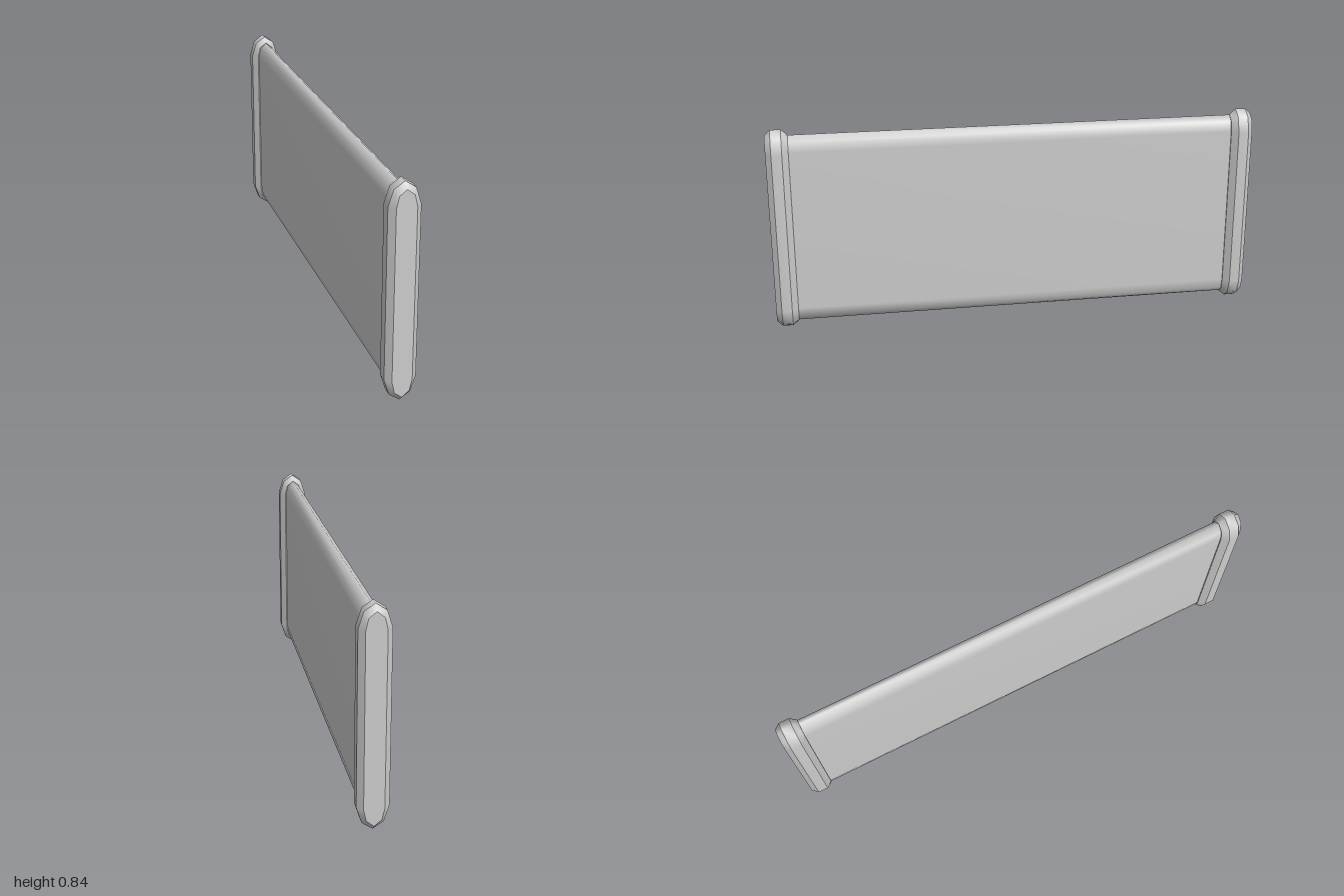
import * as THREE from 'three';
import { mergeGeometries } from 'three/addons/utils/BufferGeometryUtils.js';

const CENTRE_Y = 0.425;

// Pointed oval, counterclockwise from the front: tip height, shoulder x/y, side x/y
function oval(tip, sx, sy, wx, wy) {
  return [
    [0, -tip], [sx, -sy], [wx, -wy], [wx, wy], [sx, sy],
    [0, tip], [-sx, sy], [-wx, wy], [-wx, -wy], [-sx, -sy],
  ];
}

function makeGeometry(points, index) {
  const g = new THREE.BufferGeometry();
  g.setAttribute('position', new THREE.Float32BufferAttribute(points.flat(), 3));
  g.setIndex(index);
  g.computeVertexNormals();
  return g;
}

// Skins sections ordered back to front; each band is smooth around, sharp at its rims
function loft(sections) {
  const rings = sections.map(([z, profile]) => profile.map(([x, y]) => [x, y, z]));
  const n = rings[0].length;
  const parts = [];
  for (let r = 0; r < rings.length - 1; r++) {
    const index = [];
    for (let a = 0; a < n; a++) {
      const b = (a + 1) % n;
      index.push(a, b, b + n, a, b + n, a + n);
    }
    parts.push(makeGeometry([...rings[r], ...rings[r + 1]], index));
  }
  // Flat ends
  const front = [], back = [];
  for (let i = 1; i < n - 1; i++) {
    front.push(0, i, i + 1);
    back.push(0, i + 1, i);
  }
  parts.push(makeGeometry(rings[0], back), makeGeometry(rings[rings.length - 1], front));
  return mergeGeometries(parts);
}

export function createModel() {
  const group = new THREE.Group();
  const material = new THREE.MeshStandardMaterial({ color: 0xcccccc });
  const add = (name, geometry) => {
    const mesh = new THREE.Mesh(geometry, material);
    mesh.name = name;
    mesh.position.y = CENTRE_Y;
    group.add(mesh);
    return mesh;
  };

  // Long thin panel
  const body = oval(0.398, 0.026, 0.375, 0.034, 0.333);
  add('panel', loft([[-0.92, body], [0.92, body]]));

  // Bevelled collars closing both ends
  const inner = oval(0.4, 0.028, 0.377, 0.038, 0.333);
  const outer = oval(0.422, 0.04, 0.395, 0.06, 0.333);
  const cap = loft([[0.91, inner], [0.935, outer], [0.977, outer], [1, inner]]);
  add('frontCap', cap);
  add('backCap', cap).rotation.y = Math.PI;

  return group;
}
